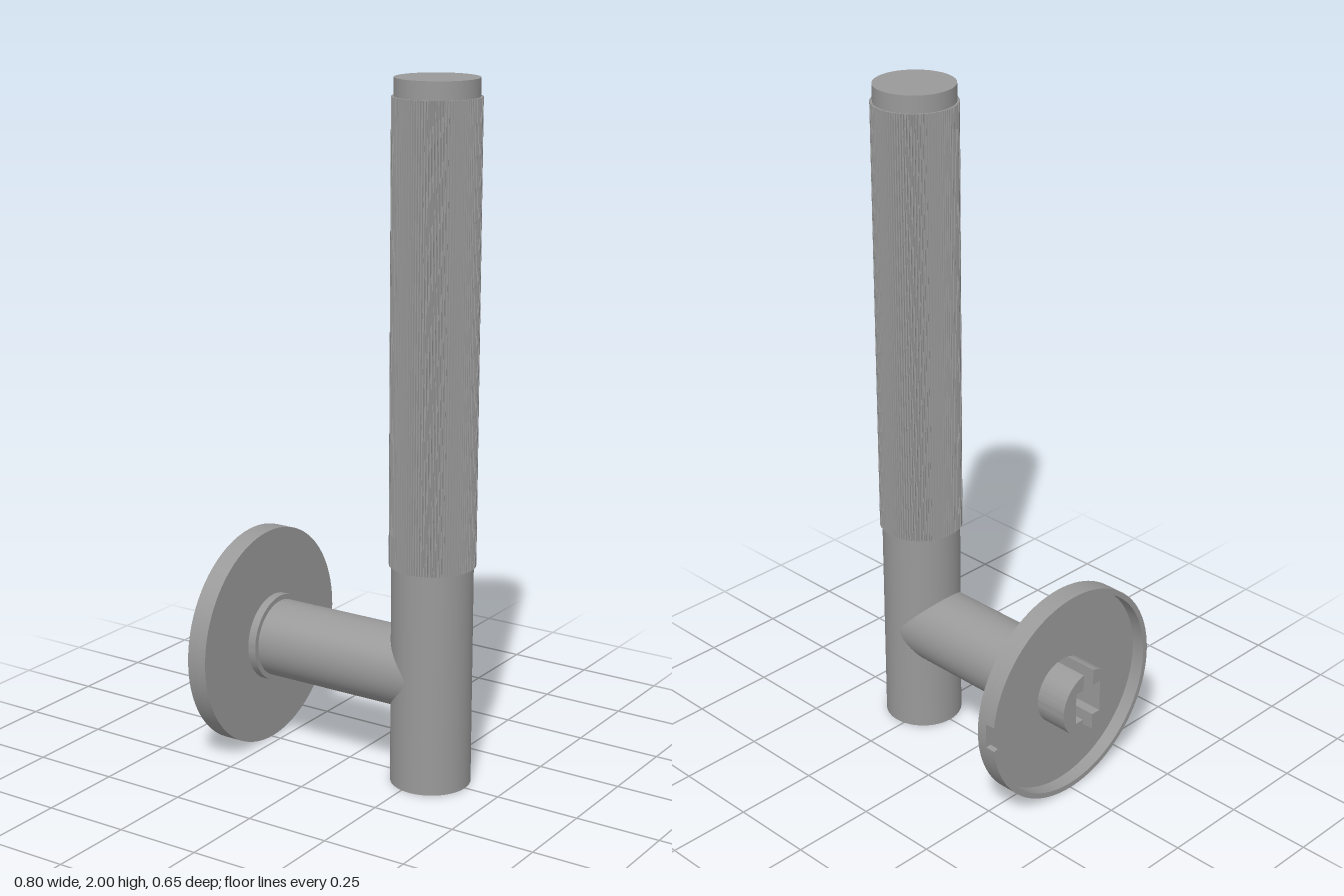
import * as THREE from 'three';
import { toCreasedNormals } from 'three/addons/utils/BufferGeometryUtils.js';
import { ParametricGeometry } from 'three/addons/geometries/ParametricGeometry.js';

const POST_X = 0.277, POST_R = 0.1155;   // upright lever
const AXIS_Y = 0.325, STUB_R = 0.1138;   // horizontal neck
const HOLE_X = -0.187, HOLE_R = 0.034, PATCH = 0.05;

export function createModel() {
  const model = new THREE.Group();
  model.name = 'doorHandle';
  const metal = new THREE.MeshStandardMaterial({ color: 0x999999, side: THREE.DoubleSide });
  metal.name = 'brushedMetal';

  const add = (name, geometry, parent = model) => {
    const mesh = new THREE.Mesh(geometry, metal);
    mesh.name = name;
    parent.add(mesh);
    return mesh;
  };
  const extrude = (shape, depth, curveSegments = 32) =>
    new THREE.ExtrudeGeometry(shape, { depth, bevelEnabled: false, curveSegments });
  const crease = (g) => toCreasedNormals(g, 0.5);
  const v2 = (pairs) => pairs.map(([x, y]) => new THREE.Vector2(x, y));

  // Upright post
  const post = add('post', new THREE.CylinderGeometry(POST_R, POST_R, 2, 96));
  post.position.set(POST_X, 1, 0);

  // Ribbed grip sleeve
  const teeth = 100, ribs = [];
  for (let i = 0; i < teeth; i++) {
    [[0, 0.1178], [0.2, 0.1178], [0.4, 0.1225], [0.8, 0.1225]].forEach(([t, r]) => {
      const a = ((i + t) / teeth) * Math.PI * 2;
      ribs.push(new THREE.Vector2(r * Math.cos(a), r * Math.sin(a)));
    });
  }
  const grip = add('ribbedGrip', extrude(new THREE.Shape(ribs), 1.3));
  grip.rotation.x = -Math.PI / 2;
  grip.position.set(POST_X, 0.65, 0);

  // Group whose local y runs along world x
  const axle = new THREE.Group();
  axle.name = 'neckAndRose';
  axle.rotation.z = -Math.PI / 2;
  axle.position.y = AXIS_Y;
  model.add(axle);

  // Neck: full bands either side of a band left open for the screw hole
  const band = (name, x0, x1, gap) => {
    const m = add(name, new THREE.CylinderGeometry(STUB_R, STUB_R, x1 - x0, 96, 1, true,
      Math.PI + gap, Math.PI * 2 - 2 * gap), axle);
    m.position.y = (x0 + x1) / 2;
  };
  band('neckEnd', -0.25, HOLE_X - PATCH, 0);
  band('neckMiddle', HOLE_X - PATCH, HOLE_X + PATCH, PATCH / STUB_R);
  band('neck', HOLE_X + PATCH, POST_X, 0);

  // Curved patch around the screw hole, from circle to square
  const onNeck = (u, v, target) => target.set(HOLE_X + u,
    AXIS_Y + STUB_R * Math.sin(v / STUB_R), -STUB_R * Math.cos(v / STUB_R));
  add('screwHolePatch', new ParametricGeometry((u, v, target) => {
    const a = u * Math.PI * 2, c = Math.cos(a), s = Math.sin(a);
    const outer = PATCH / Math.max(Math.abs(c), Math.abs(s));
    const r = HOLE_R + (outer - HOLE_R) * v;
    onNeck(c * r, s * r, target);
  }, 48, 6));
  add('screwHoleWall', new ParametricGeometry((u, v, target) => {
    const a = u * Math.PI * 2;
    onNeck(HOLE_R * Math.cos(a), HOLE_R * Math.sin(a), target);
    target.z += (-0.05 - target.z) * v;
  }, 48, 1));

  // Set screw with hexagonal socket
  const screw = new THREE.Shape().absarc(0, 0, HOLE_R, 0, Math.PI * 2);
  const hex = [];
  for (let i = 0; i < 6; i++) {
    hex.push(new THREE.Vector2(0.017 * Math.cos(i * Math.PI / 3), 0.017 * Math.sin(i * Math.PI / 3)));
  }
  screw.holes.push(new THREE.Path(hex));
  add('setScrew', extrude(screw, 0.03)).position.set(HOLE_X, AXIS_Y, -0.088);
  const socket = add('screwSocketFloor', new THREE.CircleGeometry(HOLE_R, 24));
  socket.rotation.y = Math.PI;
  socket.position.set(HOLE_X, AXIS_Y, -0.06);

  // Collar at the wall end of the neck, pierced by a square bore
  const square = () => new THREE.Path(v2([[-0.05, -0.05], [-0.05, 0.05], [0.05, 0.05], [0.05, -0.05]]));
  const collarShape = new THREE.Shape().absarc(0, 0, 0.129, 0, Math.PI * 2);
  collarShape.holes.push(square());
  const collar = add('collar', crease(extrude(collarShape, 0.025, 48)));
  collar.rotation.y = Math.PI / 2;
  collar.position.set(-0.27, AXIS_Y, 0);
  const boreFloor = add('boreFloor', new THREE.CircleGeometry(STUB_R, 48));
  boreFloor.rotation.y = -Math.PI / 2;
  boreFloor.position.set(-0.225, AXIS_Y, 0);

  // Split hub: two halves with vertical slots and a square bore between
  const hubR = 0.102, slot = 0.02, a0 = Math.acos(slot / hubR);
  for (const side of [0, Math.PI]) {
    const half = new THREE.Shape();
    half.absarc(0, 0, hubR, -a0, a0);
    [[slot, 0.05], [0.05, 0.05], [0.05, -0.05], [slot, -0.05]].forEach(([x, y]) => half.lineTo(x, y));
    half.closePath();
    const g = extrude(half, 0.13);
    g.rotateZ(side);
    const hub = add(side ? 'hubFront' : 'hubBack', crease(g));
    hub.rotation.y = Math.PI / 2;
    hub.position.set(-0.4, AXIS_Y, 0);
  }

  // Round rose plate, hollow toward the wall
  const R = 0.324, IN = 0.308;
  add('rosePlate', crease(new THREE.LatheGeometry(v2([
    [0.102, -0.3], [IN, -0.3], [IN, -0.311], [R, -0.311], [R, -0.28], [0.102, -0.28], [0.102, -0.3],
  ]), 96)), axle);

  // Rear rim of the rose, with a small notch at the back
  const gap = 0.12;
  add('roseRim', crease(new THREE.LatheGeometry(v2([
    [IN, -0.311], [IN, -0.341], [R, -0.341], [R, -0.311],
  ]), 96, Math.PI + gap, Math.PI * 2 - 2 * gap)), axle);
  for (const s of [-1, 1]) {
    const end = add('rimNotchEnd', new THREE.PlaneGeometry(R - IN, 0.03), axle);
    const a = Math.PI + s * gap, r = (R + IN) / 2;
    end.position.set(r * Math.sin(a), -0.326, r * Math.cos(a));
    end.rotation.y = a - Math.PI / 2;
  }
  return model;
}
